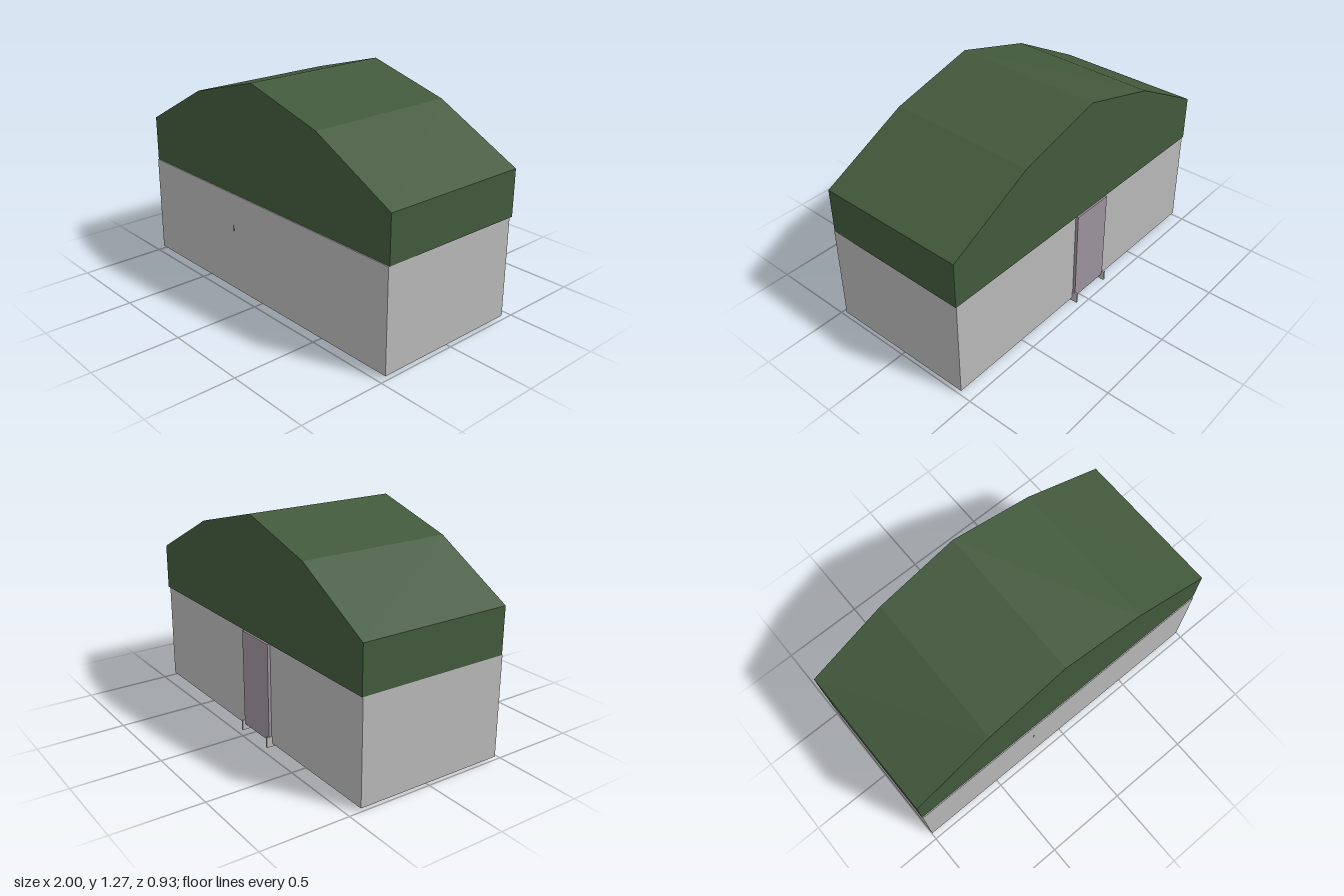
import * as THREE from 'three';

const mat = (name, color) => {
  const m = new THREE.MeshStandardMaterial({ color });
  m.name = name;
  return m;
};

export function createModel() {
  const model = new THREE.Group();
  model.name = 'building';
  const wall = mat('wallGrey', 0xb8b8b8);
  const green = mat('roofGreen', 0x42593c);
  const doorMat = mat('doorMauve', 0x9b929b);
  const brown = mat('partitionBrown', 0x5a3a22);

  // Box given by its min and max corners
  const box = (name, material, [x0, y0, z0], [x1, y1, z1]) => {
    const mesh = new THREE.Mesh(new THREE.BoxGeometry(x1 - x0, y1 - y0, z1 - z0), material);
    mesh.position.set((x0 + x1) / 2, (y0 + y1) / 2, (z0 + z1) / 2);
    mesh.name = name;
    model.add(mesh);
    return mesh;
  };

  // Walls and floor
  box('walls', wall, [-0.998, 0.018, -0.43], [0.99, 0.602, 0.463]);

  // Faceted barn roof, extruded front to back
  const profile = [[-1, 0.602], [0.992, 0.602], [0.992, 0.868], [0.475, 1.13], [-0.035, 1.267], [-0.52, 1.13], [-1, 0.868]];
  const shape = new THREE.Shape(profile.map(([x, y]) => new THREE.Vector2(x, y)));
  const zBack = -0.437, zFront = 0.457;
  const roofGeo = new THREE.ExtrudeGeometry(shape, { depth: zFront - zBack, bevelEnabled: false });
  roofGeo.translate(0, 0, zBack);
  // The back end sits slightly further to the left, growing across the width
  const p = roofGeo.attributes.position;
  for (let i = 0; i < p.count; i++) {
    const t = (zFront - p.getZ(i)) / (zFront - zBack);
    p.setX(i, p.getX(i) + 0.008 * t * Math.min(1, p.getX(i) + 1));
  }
  roofGeo.computeVertexNormals();
  const roof = new THREE.Mesh(roofGeo, green);
  roof.name = 'roof';
  model.add(roof);

  // Back door with a bracket at each lower corner
  box('door', doorMat, [-0.195, 0.035, -0.447], [0.065, 0.6, -0.425]);
  for (const x of [-0.195, 0.065]) {
    box('doorBracket', wall, [x - 0.006, 0, -0.464], [x + 0.006, 0.06, -0.402]);
  }

  // Lower edges of the inner partitions, showing under the floor: x0, z0, x1, z1
  const partitions = [
    [0.66, 0.174, 0.98, 0.174],
    [-0.22, -0.32, -0.22, -0.09],
    [-0.475, -0.09, -0.22, -0.09],
    [-0.47, 0.168, -0.215, 0.168],
    [-0.22, 0.197, -0.22, 0.445],
    [-0.99, 0.158, -0.67, 0.158],
    [-0.99, -0.105, -0.66, -0.105],
  ];
  const h = 0.005;
  for (const [x0, z0, x1, z1] of partitions) {
    box('partitionEdge', brown, [x0 - h, 0.015, z0 - h], [x1 + h, 0.02, z1 + h]);
  }
  // Small piece of partition poking through the front wall
  box('partitionTip', brown, [-0.222, 0.378, 0.46], [-0.218, 0.41, 0.466]);

  return model;
}
